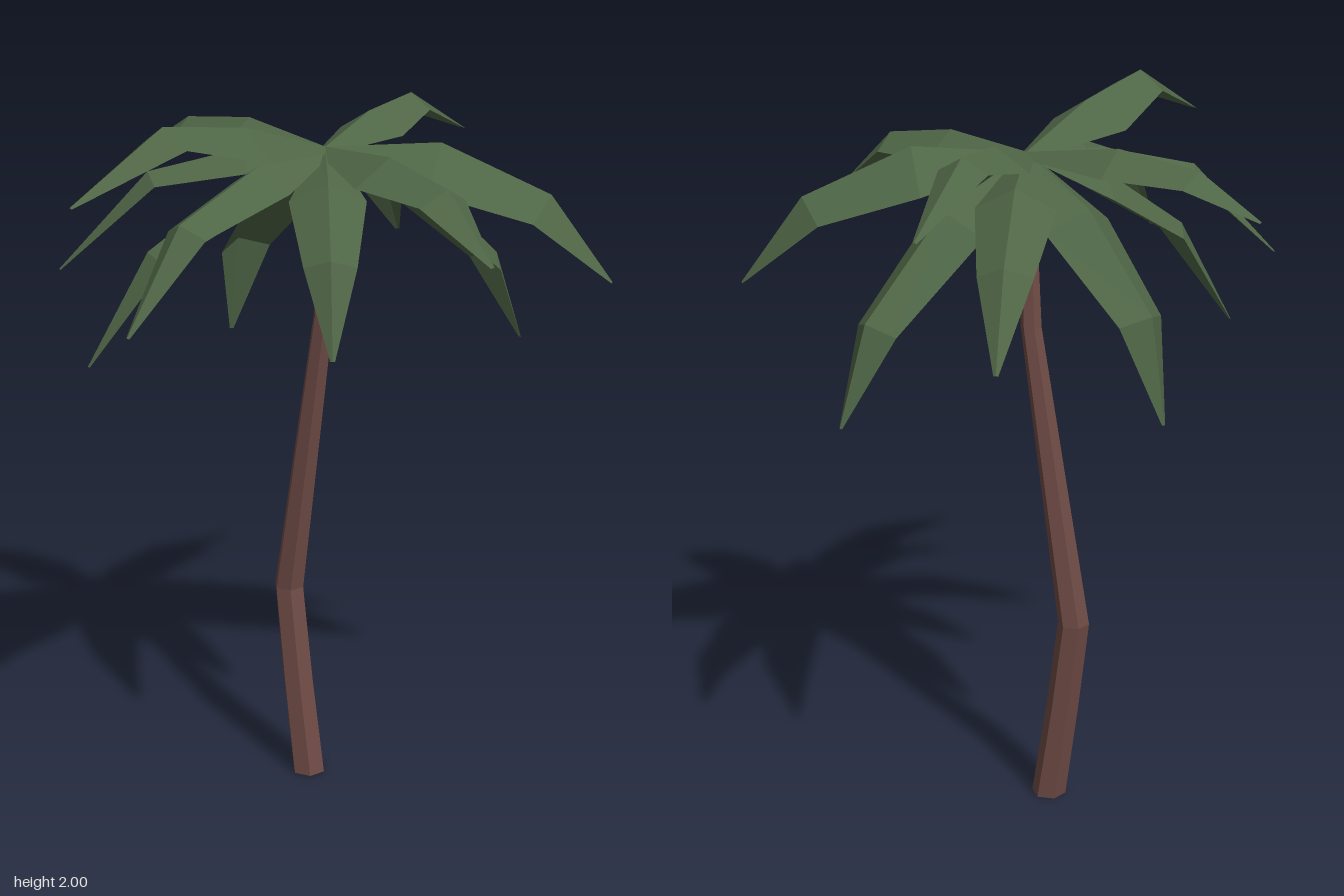
import * as THREE from 'three';

const leafGreen = new THREE.MeshStandardMaterial({ color: 0x4f6646, flatShading: true, side: THREE.DoubleSide });
leafGreen.name = 'leafGreen';
const barkBrown = new THREE.MeshStandardMaterial({ color: 0x6f4b45, flatShading: true });
barkBrown.name = 'barkBrown';

const ROOT = new THREE.Vector3(-0.03, 1.87, 0.02);
const UP = new THREE.Vector3(0, 1, 0);

function makeGeometry(points, index) {
  let g = new THREE.BufferGeometry().setFromPoints(points);
  g.setIndex(index);
  g = g.toNonIndexed();
  g.computeVertexNormals();
  return g;
}

// Folded leaf: a drooping ridge with two sloping sides.
// mids are [fraction of the horizontal reach, height] of the ridge.
function frondGeometry(tip, mids, width) {
  const end = new THREE.Vector3(...tip);
  const ridge = [ROOT.clone()];
  for (const [f, y] of mids) ridge.push(ROOT.clone().lerp(end, f).setY(y));
  ridge.push(end);
  const flat = end.clone().sub(ROOT).setY(0).normalize();
  const side = new THREE.Vector3().crossVectors(UP, flat);
  const halfWidths = [0.025, width, width * 0.68, 0.006];
  const points = [], index = [];
  ridge.forEach((p, i) => {
    const before = ridge[Math.max(i - 1, 0)], after = ridge[Math.min(i + 1, ridge.length - 1)];
    const along = after.clone().sub(before).normalize();
    const normal = new THREE.Vector3().crossVectors(along, side);
    const w = halfWidths[i];
    for (const s of [1, 0, -1]) {
      points.push(p.clone().addScaledVector(side, s * w).addScaledVector(normal, -Math.abs(s) * w * 0.6));
    }
    if (i < ridge.length - 1) {
      for (let j = 0; j < 2; j++) {
        const a = i * 3 + j, b = a + 1, c = a + 3, d = a + 4;
        index.push(a, b, c, b, d, c);
      }
    }
  });
  return makeGeometry(points, index);
}

// Bent stem from rings [x, y, z, radius], closed at both ends.
function stemGeometry(rings, sides) {
  const points = [], index = [];
  for (const [x, y, z, r] of rings) {
    for (let k = 0; k < sides; k++) {
      const a = (k / sides) * Math.PI * 2 + 0.3;
      points.push(new THREE.Vector3(x + Math.cos(a) * r, y, z + Math.sin(a) * r));
    }
  }
  for (let i = 0; i < rings.length - 1; i++) {
    for (let k = 0; k < sides; k++) {
      const a = i * sides + k, b = i * sides + (k + 1) % sides;
      index.push(a, a + sides, b, b, a + sides, b + sides);
    }
  }
  const top = (rings.length - 1) * sides;
  for (let k = 1; k < sides - 1; k++) {
    index.push(0, k, k + 1, top, top + k + 1, top + k);
  }
  return makeGeometry(points, index);
}

export function createModel() {
  const palm = new THREE.Group();
  palm.name = 'palmTree';

  const add = (name, geometry, material, parent) => {
    const mesh = new THREE.Mesh(geometry, material);
    mesh.name = name;
    parent.add(mesh);
  };

  // Leaning trunk with a kink low down
  add('trunk', stemGeometry([
    [-0.092, 0, -0.052, 0.049],
    [-0.125, 0.28, -0.08, 0.046],
    [-0.153, 0.56, -0.107, 0.044],
    [-0.04, 1.4, -0.015, 0.029],
    [-0.033, 1.65, 0.004, 0.026],
    [-0.032, 1.8, 0.015, 0.026],
  ], 6), barkBrown, palm);

  // Flared bud where the leaves join
  add('crownBase', stemGeometry([
    [-0.04, 1.72, 0.015, 0.03],
    [-0.06, 1.755, 0.02, 0.065],
    [-0.055, 1.8, 0.02, 0.065],
    [-0.03, 1.85, 0.02, 0.02],
  ], 6), barkBrown, palm);

  // Fronds: tip, two ridge points, half width
  const fronds = [
    [[0.10, 1.48, -0.645], [[0.4, 1.84], [0.75, 1.7]], 0.105],
    [[0.29, 1.80, -0.585], [[0.3, 1.93], [0.6, 1.945]], 0.1],
    [[0.48, 1.25, -0.36], [[0.45, 1.76], [0.86, 1.51]], 0.115],
    [[0.73, 1.53, 0.025], [[0.4, 1.89], [0.78, 1.76]], 0.165],
    [[0.44, 1.69, 0.49], [[0.4, 1.89], [0.74, 1.85]], 0.11],
    [[0.05, 1.445, 0.52], [[0.4, 1.82], [0.78, 1.67]], 0.1],
    [[-0.45, 1.51, 0.595], [[0.35, 1.86], [0.74, 1.76]], 0.1],
    [[-0.57, 1.845, 0.635], [[0.33, 1.96], [0.65, 2.0]], 0.12],
    [[-0.63, 1.32, 0.26], [[0.37, 1.79], [0.74, 1.62]], 0.1],
    [[-0.725, 1.55, 0.14], [[0.3, 1.87], [0.66, 1.81]], 0.085],
    [[-0.59, 1.77, -0.36], [[0.4, 1.91], [0.74, 1.88]], 0.1],
    [[-0.355, 1.24, -0.375], [[0.45, 1.76], [0.9, 1.52]], 0.115],
  ];
  const crown = new THREE.Group();
  crown.name = 'crown';
  palm.add(crown);
  fronds.forEach(([tip, mids, width], i) => add(`frond${i + 1}`, frondGeometry(tip, mids, width), leafGreen, crown));

  return palm;
}
